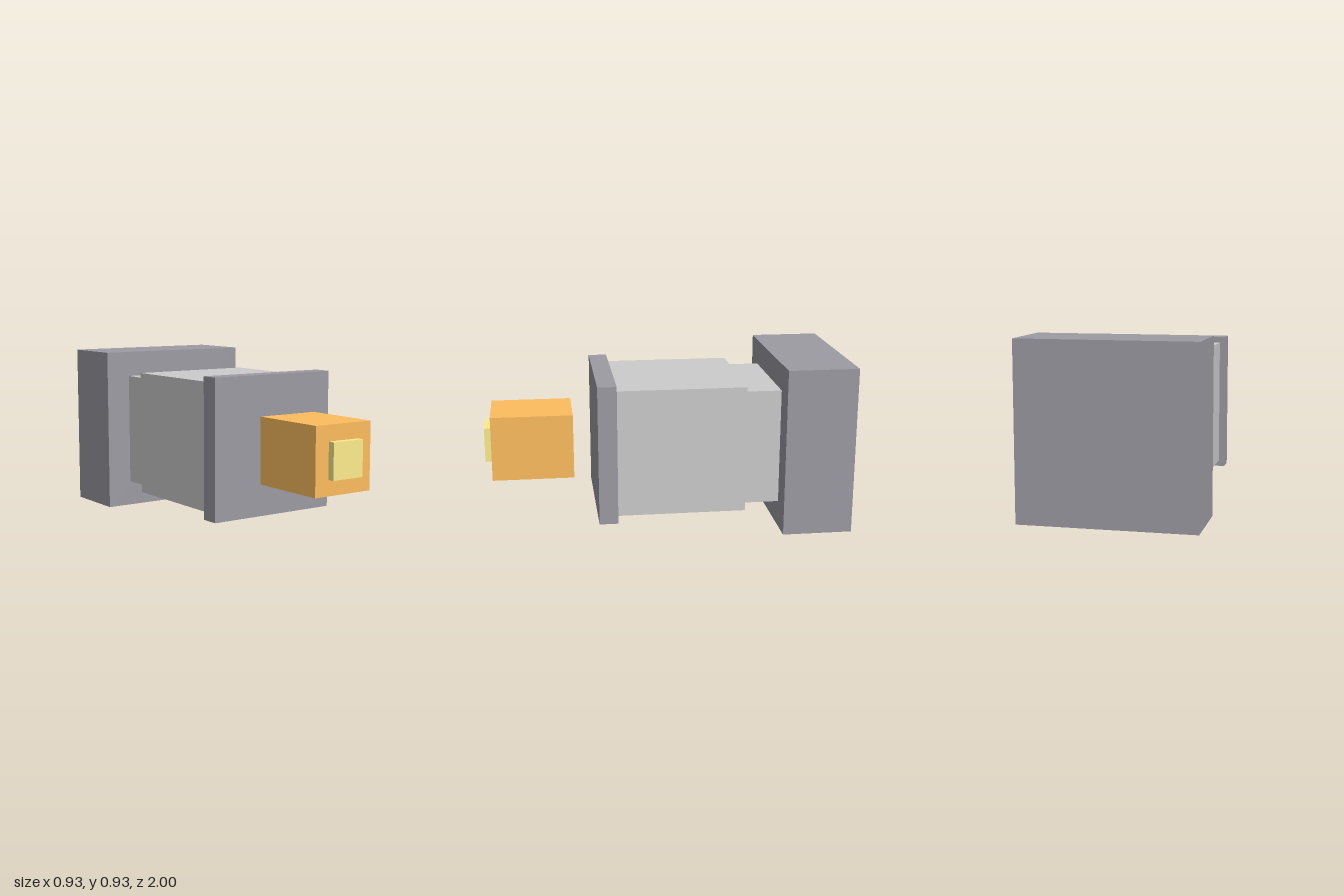
import * as THREE from 'three';

const AXIS_Y = 0.4635; // height of the common centre line

export function createModel() {
  const model = new THREE.Group();
  model.name = 'steppedBlockAssembly';

  const lightGrey = new THREE.MeshStandardMaterial({ color: 0xcccccc });
  const darkGrey = new THREE.MeshStandardMaterial({ color: 0x9b9ba2 });
  const orange = new THREE.MeshStandardMaterial({ color: 0xfdbd5e });
  const yellow = new THREE.MeshStandardMaterial({ color: 0xfdec8c });

  // Square block on the centre line, from zBack to zFront
  const addBlock = (name, size, zBack, zFront, material) => {
    const mesh = new THREE.Mesh(new THREE.BoxGeometry(size, size, zFront - zBack), material);
    mesh.name = name;
    mesh.position.set(0, AXIS_Y, (zBack + zFront) / 2);
    model.add(mesh);
  };

  addBlock('rearBlock', 0.927, -1, -0.615, darkGrey);
  addBlock('neck', 0.64, -0.615, -0.42, lightGrey);
  addBlock('body', 0.705, -0.42, 0.287, lightGrey);
  addBlock('frontFlange', 0.77, 0.287, 0.39, darkGrey);

  // Separate block floating ahead of the flange
  addBlock('frontBlock', 0.36, 0.513, 0.962, orange);
  addBlock('frontTip', 0.192, 0.962, 1, yellow);

  return model;
}
